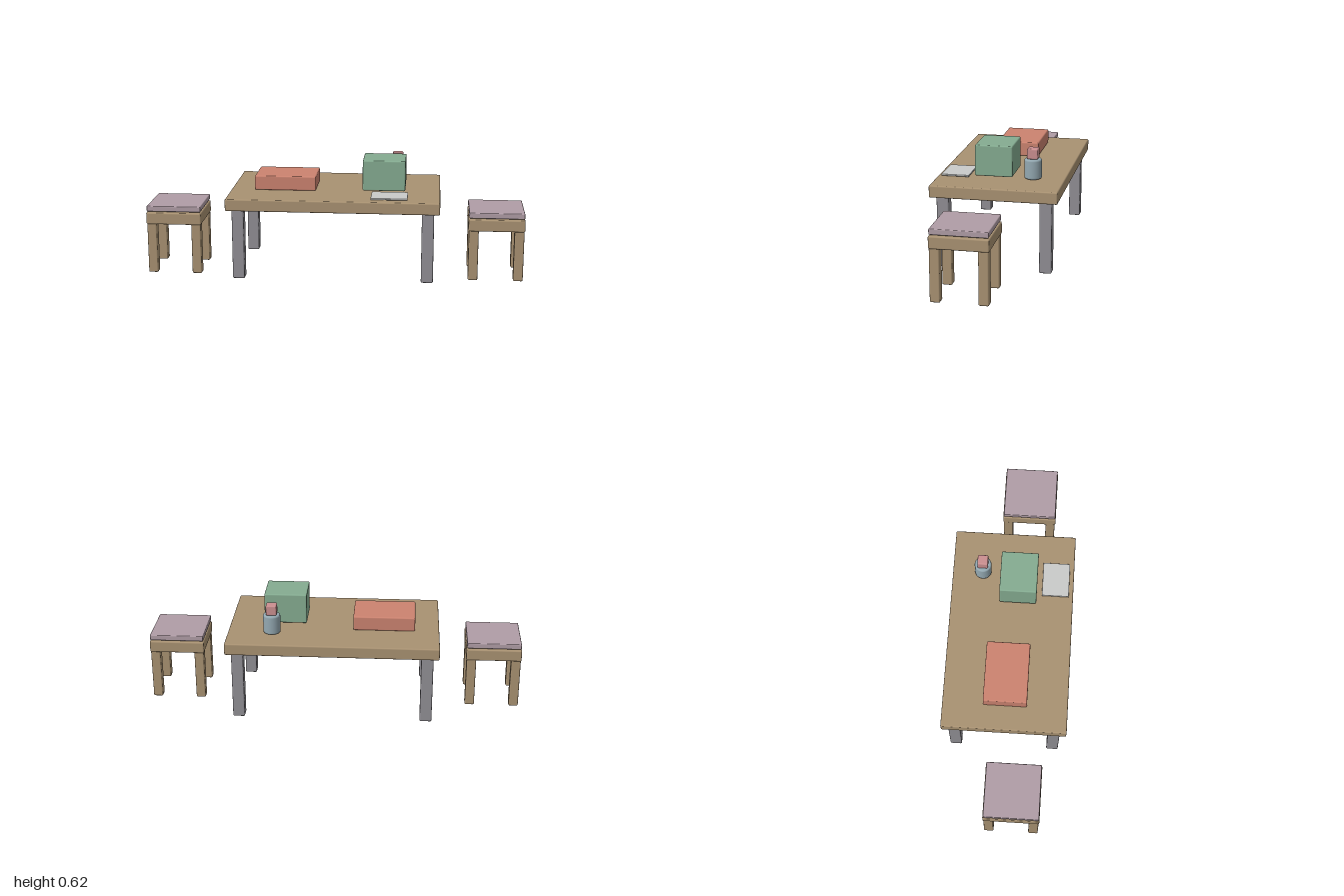
import * as THREE from 'three';
import { RoundedBoxGeometry } from 'three/addons/geometries/RoundedBoxGeometry.js';

function material(name, color) {
  const m = new THREE.MeshStandardMaterial({ color });
  m.name = name;
  return m;
}

// Softly bevelled box given by its extents on each axis
function block(name, mat, [x0, x1], [y0, y1], [z0, z1], bevel = 0.007) {
  const geo = new RoundedBoxGeometry(x1 - x0, y1 - y0, z1 - z0, 2, bevel);
  const mesh = new THREE.Mesh(geo, mat);
  mesh.name = name;
  mesh.position.set((x0 + x1) / 2, (y0 + y1) / 2, (z0 + z1) / 2);
  return mesh;
}

// Four square legs around the group's centre
function addLegs(group, name, mat, dx, dz, width, y) {
  const h = width / 2;
  for (const sx of [-1, 1]) {
    for (const sz of [-1, 1]) {
      const x = sx * dx, z = sz * dz;
      group.add(block(name, mat, [x - h, x + h], y, [z - h, z + h]));
    }
  }
}

export function createModel() {
  const model = new THREE.Group();
  model.name = 'tableWithStools';

  const wood = material('wood', 0xa99272);
  const legGrey = material('legGrey', 0x918f95);
  const mauve = material('cushionMauve', 0xb09da6);
  const red = material('boxRed', 0xcc8370);
  const green = material('boxGreen', 0x85ac91);
  const blue = material('bottleBlue', 0x93a8b1);
  const pink = material('capPink', 0xcb8f90);
  const white = material('paperWhite', 0xcacbca);

  // Table
  const table = new THREE.Group();
  table.name = 'table';
  table.add(block('tableTop', wood, [-0.556, 0.556], [0.38, 0.443], [-0.327, 0.327]));
  addLegs(table, 'tableLeg', legGrey, 0.495, 0.2635, 0.063, [0.006, 0.382]);
  model.add(table);

  // Two stools with loose cushions
  for (const side of [-1, 1]) {
    const stool = new THREE.Group();
    stool.name = side < 0 ? 'rightStool' : 'leftStool';
    stool.position.set(side * 0.853, 0, 0.066);
    stool.add(block('stoolSeat', wood, [-0.147, 0.147], [0.268, 0.331], [-0.147, 0.147]));
    stool.add(block('stoolCushion', mauve, [-0.144, 0.144], [0.337, 0.367], [-0.144, 0.144], 0.005));
    addLegs(stool, 'stoolLeg', wood, 0.1185, 0.1185, 0.051, [0, 0.272]);
    model.add(stool);
  }

  // Boxes and sheet on the table
  model.add(block('flatBox', red, [-0.428, -0.102], [0.444, 0.521], [-0.114, 0.114]));
  model.add(block('tallBox', green, [0.147, 0.372], [0.455, 0.617], [-0.065, 0.131]));
  model.add(block('paper', white, [0.198, 0.388], [0.45, 0.459], [0.159, 0.303], 0.002));

  // Bottle with rounded shoulders and a square cap
  const r = 0.045, c = 0.01, y0 = 0.445, y1 = 0.549;
  const profile = [new THREE.Vector2(0, y0)];
  for (let i = 0; i <= 4; i++) {
    const a = (i / 4) * Math.PI / 2;
    profile.push(new THREE.Vector2(r - c + c * Math.sin(a), y0 + c - c * Math.cos(a)));
  }
  for (let i = 0; i <= 4; i++) {
    const a = (i / 4) * Math.PI / 2;
    profile.push(new THREE.Vector2(r - c + c * Math.cos(a), y1 - c + c * Math.sin(a)));
  }
  profile.push(new THREE.Vector2(0, y1));
  const bottle = new THREE.Mesh(new THREE.LatheGeometry(profile, 32), blue);
  bottle.name = 'bottle';
  bottle.position.set(0.323, 0, -0.1635);
  model.add(bottle);
  model.add(block('bottleCap', pink, [0.295, 0.351], [0.549, 0.604], [-0.1915, -0.1355]));

  return model;
}
